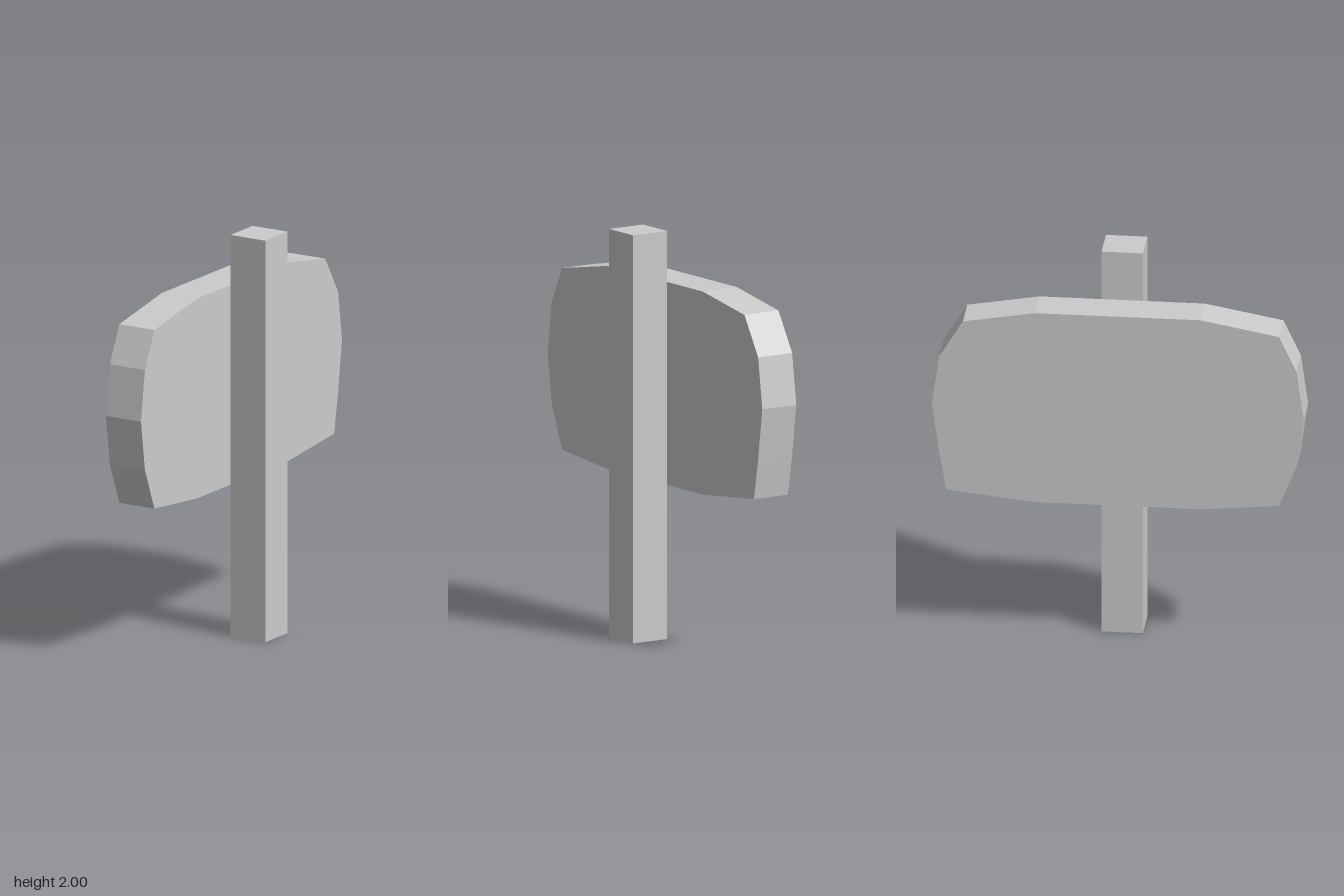
import * as THREE from 'three';

export function createModel() {
  const group = new THREE.Group();
  const material = new THREE.MeshStandardMaterial({ color: 0xcccccc, flatShading: true });

  // Square upright post
  const post = new THREE.Mesh(new THREE.BoxGeometry(0.2, 2, 0.2), material);
  post.name = 'post';
  post.position.set(0.1, 1, 0);
  group.add(post);

  // Sign board: slightly irregular outline as (z, y), extruded towards -x
  const outline = [
    [0.4, 1.75], [-0.4, 1.75], [-0.75, 1.69], [-0.865, 1.5], [-0.9, 1.25],
    [-0.865, 1], [-0.83, 0.8], [-0.4, 0.755], [0.4, 0.755], [0.78, 0.79],
    [0.865, 1], [0.9, 1.25], [0.865, 1.5], [0.78, 1.68],
  ].map(([z, y]) => new THREE.Vector2(z, y));
  const boardGeometry = new THREE.ExtrudeGeometry(new THREE.Shape(outline), {
    depth: 0.2, bevelEnabled: false,
  });
  boardGeometry.rotateY(-Math.PI / 2);
  const board = new THREE.Mesh(boardGeometry, material);
  board.name = 'signBoard';
  group.add(board);

  return group;
}
